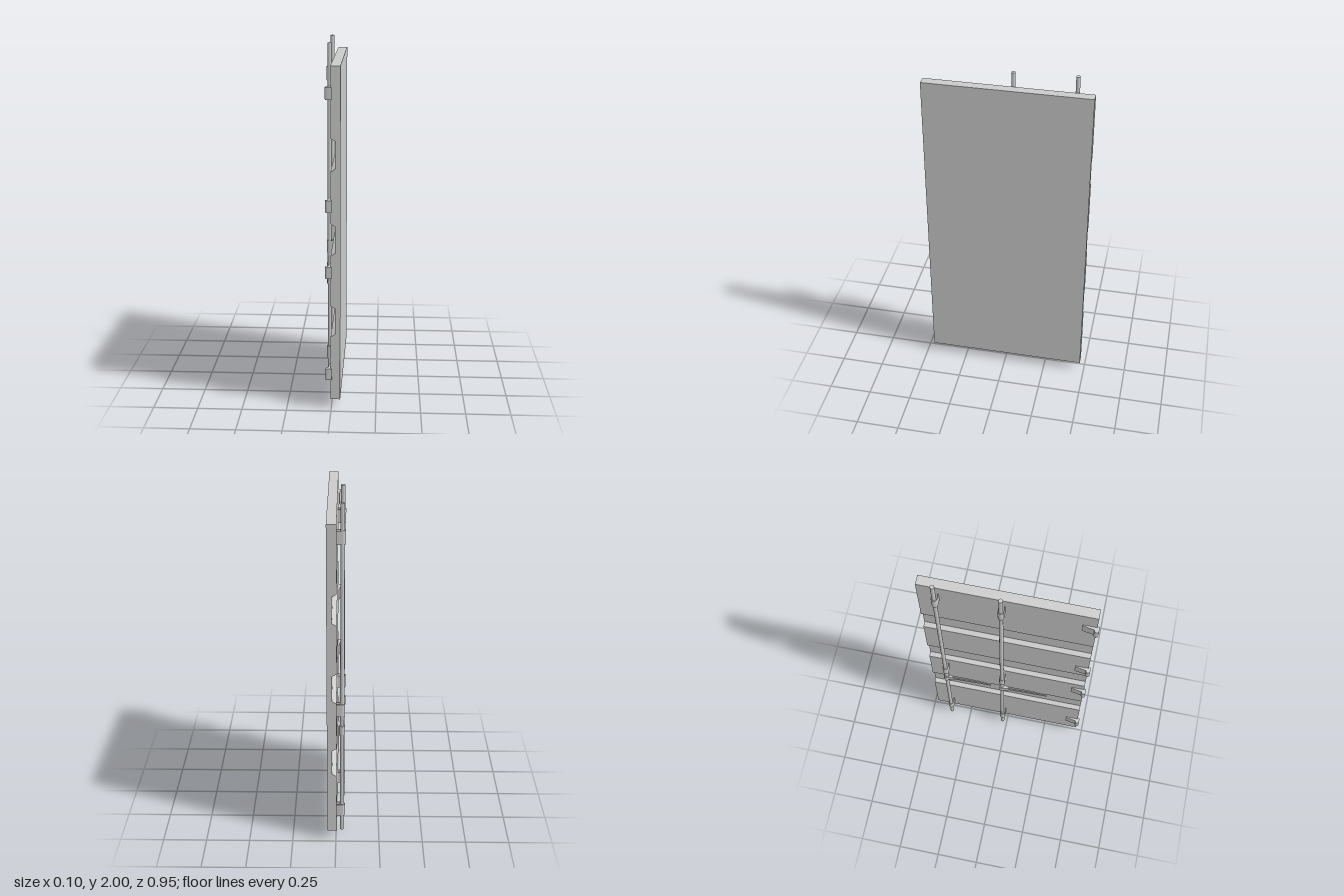
import * as THREE from 'three';

const material = new THREE.MeshStandardMaterial({ color: 0xcccccc, flatShading: true });
const smooth = new THREE.MeshStandardMaterial({ color: 0xcccccc });

function add(parent, name, geometry, mat = material) {
  const mesh = new THREE.Mesh(geometry, mat);
  mesh.name = name;
  parent.add(mesh);
  return mesh;
}

// Plan outline drawn as (x, -z), extruded upwards from y0 to y1
function upright(shape, y0, y1) {
  const g = new THREE.ExtrudeGeometry(shape, { depth: y1 - y0, bevelEnabled: false, curveSegments: 10 });
  return g.rotateX(-Math.PI / 2).translate(0, y0, 0);
}

const polygon = (points) => new THREE.Shape(points.map(([x, y]) => new THREE.Vector2(x, y)));

// Flat slab with three horizontal recesses across its inner face
function panelGeometry() {
  const points = [[-0.003, 0.055], [0.05, 0.055], [0.05, 1.92], [-0.003, 1.92]];
  for (const mid of [1.45, 0.985, 0.518]) {
    points.push([-0.003, mid + 0.09], [0.022, mid + 0.075], [0.022, mid - 0.075], [-0.003, mid - 0.09]);
  }
  return new THREE.ExtrudeGeometry(polygon(points), { depth: 0.935, bevelEnabled: false }).translate(0, 0, -0.475);
}

// Strap that wraps the rod, with two flanges against the panel
function keeperShape() {
  const r = 0.0165, t = 0.003, cx = -0.034, s = new THREE.Shape();
  s.moveTo(0, -0.031);
  s.lineTo(0, -r + t);
  s.lineTo(cx, -r + t);
  s.absarc(cx, 0, r - t, -Math.PI / 2, Math.PI / 2, true);
  s.lineTo(0, r - t);
  s.lineTo(0, 0.031);
  s.lineTo(-t, 0.031);
  s.lineTo(-t, r);
  s.lineTo(cx, r);
  s.absarc(cx, 0, r, Math.PI / 2, Math.PI * 1.5, false);
  s.lineTo(-t, -r);
  s.lineTo(-t, -0.031);
  s.closePath();
  return s;
}

// Wedge with a rounded lip at the closing edge
function catchShape() {
  const s = new THREE.Shape();
  s.moveTo(0.003, -0.472);
  s.lineTo(0.003, -0.46);
  s.lineTo(-0.003, -0.46);
  s.lineTo(-0.003, -0.384);
  s.lineTo(-0.008, -0.384);
  s.lineTo(-0.018, -0.447);
  s.absarc(-0.02, -0.46, 0.012, Math.PI / 2, Math.PI * 1.5, false);
  s.closePath();
  return s;
}

export function createModel() {
  const model = new THREE.Group();
  model.name = 'panelDoor';
  add(model, 'panel', panelGeometry());

  // Locking rods with their keepers and handles
  for (const [z, top] of [[-0.375, 2], [-0.03, 1.99]]) {
    const lock = new THREE.Group();
    lock.name = 'lockingRod';
    lock.position.z = z;
    model.add(lock);

    add(lock, 'rod', new THREE.CylinderGeometry(0.0115, 0.0115, top, 20), smooth).position.set(-0.034, top / 2, 0);
    for (const y of [0.1, 0.765, 1.78]) add(lock, 'keeper', upright(keeperShape(), y, y + 0.077));
    add(lock, 'handleHub', new THREE.CylinderGeometry(0.0165, 0.0165, 0.055, 20), smooth).position.set(-0.034, 0.675, 0);

    // Collar tapering into a thin blade
    const collar = polygon([[-0.046, -0.01], [-0.04, -0.04], [-0.034, -0.04], [-0.022, -0.01]]);
    add(lock, 'handleCollar', upright(collar, 0.655, 0.695));
    const blade = polygon([[-0.04, -0.035], [-0.034, -0.275], [-0.029, -0.275], [-0.034, -0.035]].reverse());
    add(lock, 'handleBlade', upright(blade, 0.664, 0.686));
  }

  // Edge catches
  for (const y of [0.175, 0.768, 1.14, 1.745]) add(model, 'edgeCatch', upright(catchShape(), y, y + 0.066));

  return model;
}
